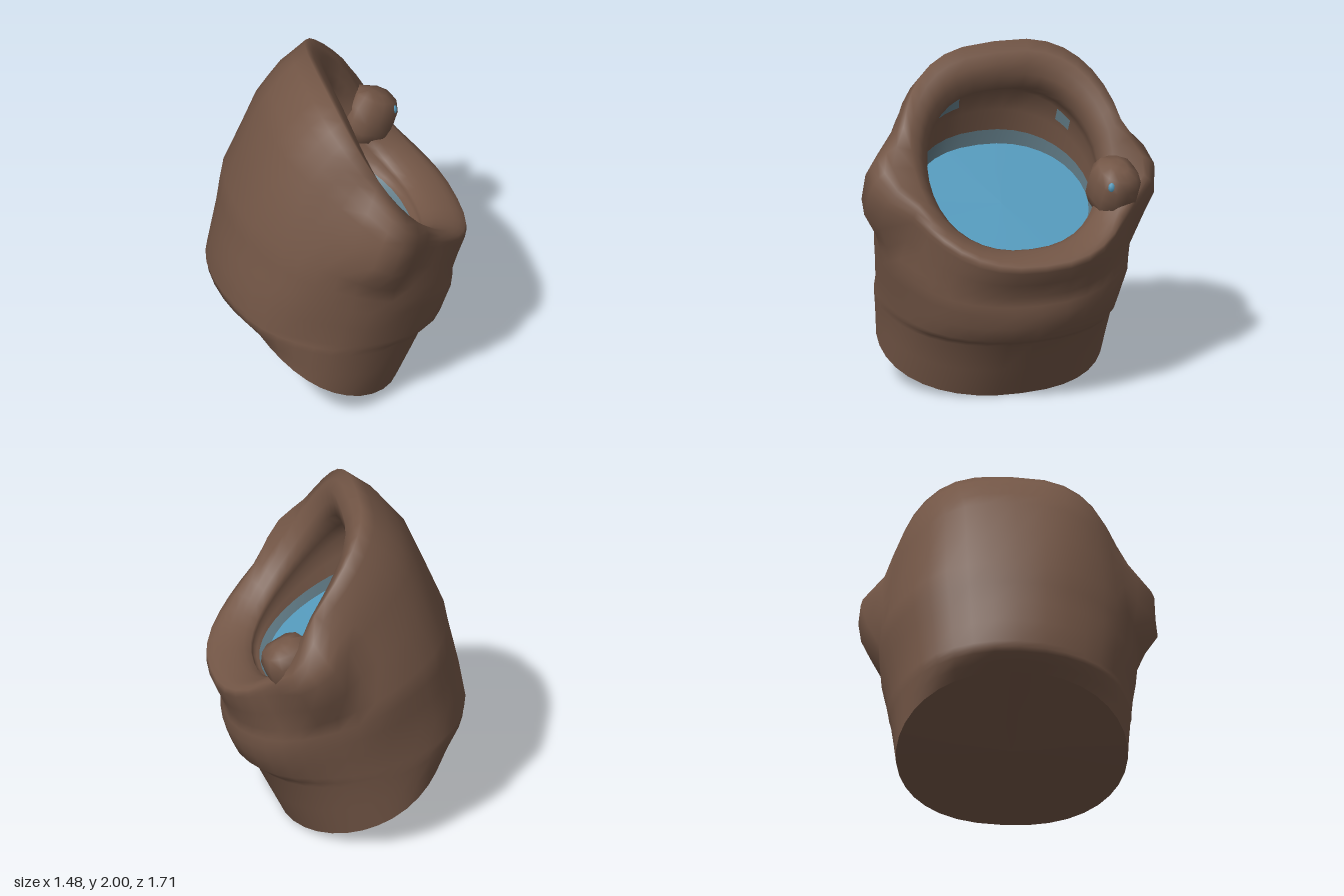
import * as THREE from 'three';

const brown = new THREE.MeshStandardMaterial({ color: 0x735646, side: THREE.DoubleSide });
brown.name = 'brown clay';
const blue = new THREE.MeshStandardMaterial({ color: 0x5499bb, side: THREE.DoubleSide });
blue.name = 'water blue';
const grey = new THREE.MeshStandardMaterial({ color: 0x607a85, side: THREE.DoubleSide });
grey.name = 'wet grey';

// Tilted rings: [far x, far y, near x, near y, half width in z, sag of the sides, hood flare]
const BASE = [-0.62, 0.53, 0.33, 0.0, 0.67, 0.07, 0];
const WATER = [-0.38, 1.28, 0.38, 0.86, 0.52, 0.02, 0];
const WET = [-0.37, 1.37, 0.43, 0.88, 0.53, 0.02, 0];
const THROAT = [-0.29, 1.64, 0.46, 0.89, 0.54, 0.03, 0.3];
const LIP = [-0.06, 1.73, 0.48, 0.93, 0.5, 0.05, 0.9];
const WALL = [
  BASE,
  [-0.73, 0.61, 0.51, 0.36, 0.69, 0.03, 0],
  [-0.74, 0.67, 0.6, 0.42, 0.7, 0.02, 0],
  [-0.69, 0.95, 0.66, 0.58, 0.73, 0, 0],
  [-0.63, 1.22, 0.65, 0.7, 0.75, 0, 0],
  [-0.44, 1.69, 0.74, 0.87, 0.7, 0.02, 0.3],
  [-0.28, 1.88, 0.73, 0.91, 0.69, 0.04, 0.6],
  [-0.12, 2.0, 0.66, 0.94, 0.65, 0.06, 1],
  [-0.03, 1.89, 0.56, 0.95, 0.57, 0.06, 1],
  LIP, THROAT, WET,
];
// Side lugs swelling out of the wall: position, spread and depth
const LUGS = [
  { x: 0.08, y: 1.25, w: 0.21, h: 0.27, side: 1, depth: 0.16 },
  { x: 0.25, y: 1.2, w: 0.21, h: 0.23, side: -1, depth: 0.15 },
];

function ringPoint(r, phi) {
  const c = Math.cos(phi), s = Math.sin(phi);
  // The hood is squarer than the body
  const power = c < 0 ? 0.88 - 0.2 * r[6] : 0.86;
  const side = Math.sign(s) * Math.pow(Math.abs(s), power);
  // The hood reaches further forward on the back side
  const flare = r[6] * s * s * Math.min(1, (1 - c) / 1.2);
  return new THREE.Vector3(
    (r[0] + r[2]) / 2 + (r[2] - r[0]) / 2 * c - r[5] * s * s + flare * (s < 0 ? 0.1 : -0.02),
    (r[1] + r[3]) / 2 + (r[3] - r[1]) / 2 * c - r[5] * s * s + flare * (s < 0 ? 0.06 : 0.02),
    r[4] * side);
}

function swellLugs(p) {
  for (const l of LUGS) {
    if (p.z * l.side < 0.4) continue;
    const q = ((p.x - l.x) / l.w) ** 2 + ((p.y - l.y) / l.h) ** 2;
    p.z += l.side * l.depth * Math.exp(-q * q);
  }
}

// Surface through a list of rings; u runs over the rings, v around them
function surface(rings, { u0 = 0, u1 = rings.length - 1, rows = 2, v0 = 0, v1 = Math.PI * 2,
  cols = 36, bump = 0, lift = 0 } = {}) {
  const closed = v1 - v0 > 6.28, n = closed ? cols : cols + 1;
  const pos = [], index = [];
  for (let i = 0; i <= rows; i++) {
    const u = u0 + (u1 - u0) * i / rows;
    const k = Math.min(Math.floor(u), rings.length - 2), t = u - k;
    const ring = rings[k].map((a, q) => a + (rings[k + 1][q] - a) * t);
    const cx = (ring[0] + ring[2]) / 2;
    // Uneven hand-shaped lumps, strongest on the middle of the wall
    const amount = bump * Math.sin(Math.PI * Math.min(u / 7, 1));
    for (let j = 0; j < n; j++) {
      const phi = v0 + (v1 - v0) * j / cols;
      const p = ringPoint(ring, phi);
      const f = 1 + amount * Math.sin(phi * 5 + u * 2.1) * Math.cos(phi * 3 - u * 1.3) - lift;
      p.x = cx + (p.x - cx) * f;
      p.z *= f;
      if (bump && u < 7.5) swellLugs(p);
      pos.push(p.x, p.y, p.z);
    }
  }
  for (let i = 0; i < rows; i++) {
    for (let j = 0; j < cols; j++) {
      const j1 = closed ? (j + 1) % cols : j + 1;
      const a = i * n + j, b = a + n, c = i * n + j1, d = c + n;
      index.push(a, b, c, c, b, d);
    }
  }
  const g = new THREE.BufferGeometry();
  g.setAttribute('position', new THREE.Float32BufferAttribute(pos, 3));
  g.setIndex(index);
  g.computeVertexNormals();
  return g;
}

// Chunky lump: a coarse sphere pushed toward a box
function lump(w, h, d) {
  const g = new THREE.SphereGeometry(1, 12, 8);
  const p = g.attributes.position, v = new THREE.Vector3();
  for (let i = 0; i < p.count; i++) {
    v.fromBufferAttribute(p, i);
    const q = Math.pow(v.x ** 4 + v.y ** 4 + v.z ** 4, 0.25);
    v.multiplyScalar(0.1 + 0.9 / q);
    p.setXYZ(i, v.x * w, v.y * h, v.z * d);
  }
  g.computeVertexNormals();
  return g;
}

export function createModel() {
  const group = new THREE.Group();
  const add = (name, geometry, material, x = 0, y = 0, z = 0) => {
    const m = new THREE.Mesh(geometry, material);
    m.name = name;
    m.position.set(x, y, z);
    group.add(m);
    return m;
  };

  // Leaning pot: outer wall with lugs, rolled rim and inside
  add('potWall', surface(WALL, { rows: (WALL.length - 1) * 2, bump: 0.012 }), brown);

  // Underside
  const baseCentre = [-0.16, 0.24, -0.16, 0.24, 0, 0, 0];
  add('underside', surface([baseCentre, BASE]), brown);

  // Wet band and water
  add('wetBand', surface([WET, WATER]), grey);
  const waterCentre = [0, 1.05, 0, 1.05, 0, 0, 0];
  add('water', surface([WATER, waterCentre]), blue);

  // Damp patches under the hood
  const inside = [THROAT, WET];
  const patch = { u0: 0, u1: 0.3, cols: 5, lift: 0.015 };
  add('dampPatchFront', surface(inside, { ...patch, v0: 2.45, v1: 2.92 }), grey);
  add('dampPatchBack', surface(inside, { ...patch, v0: 3.95, v1: 4.15 }), grey);

  // Inner end of the back lug, sitting on the rim
  const tip = add('backLugTip', lump(0.15, 0.16, 0.13), brown, 0.36, 1.2, -0.55);
  tip.rotation.set(0, 0.2, -0.4);

  // Water drop on the back lug
  const drop = add('waterDrop', new THREE.SphereGeometry(0.03, 8, 6), blue, 0.5, 1.25, -0.49);
  drop.scale.set(0.6, 1, 0.8);
  return group;
}
